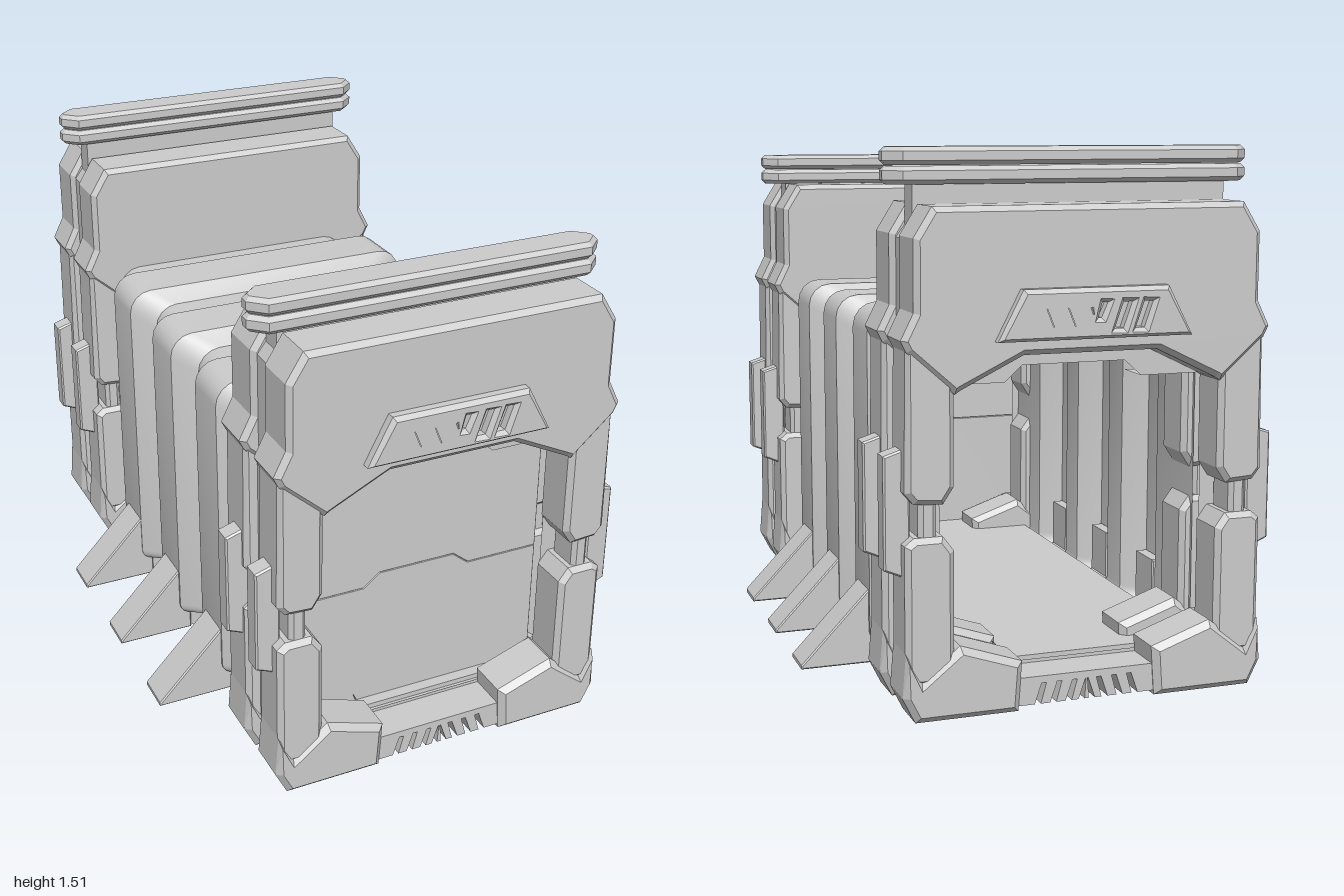
import * as THREE from 'three';
import { toCreasedNormals } from 'three/addons/utils/BufferGeometryUtils.js';

const material = new THREE.MeshStandardMaterial({ color: 0xcccccc });
const openMaterial = new THREE.MeshStandardMaterial({ color: 0xcccccc, side: THREE.DoubleSide });

const flip = pts => pts.map(([x, y]) => [-x, y]);
// Closes a right-hand half outline with its mirror image
const mirrored = pts => [...pts, ...flip(pts).reverse()];
const toPoints = pts => pts.map(([x, y]) => new THREE.Vector2(x, y));

function add(parent, name, geometry, mat = material) {
  const mesh = new THREE.Mesh(geometry, mat);
  mesh.name = name;
  parent.add(mesh);
  return mesh;
}

// Bevelled plate with an outline in x/y, filling z0..z1
function plate(pts, z0, z1, bevel = 0.012, holes = []) {
  const shape = new THREE.Shape(toPoints(pts));
  shape.holes = holes.map(h => new THREE.Path(toPoints(h)));
  const geo = new THREE.ExtrudeGeometry(shape, {
    depth: z1 - z0 - 2 * bevel, bevelEnabled: bevel > 0, bevelThickness: bevel,
    bevelSize: bevel, bevelOffset: -bevel, bevelSegments: 1,
  });
  return geo.translate(0, 0, z0 + bevel);
}

const LINTEL = mirrored([[0.44, 1.36], [0.49, 1.28], [0.49, 1.09], [0.525, 1.02],
  [0.51, 0.99], [0.38, 0.875], [0.365, 0.885], [0.19, 0.97]]);
const UPPER_PILLAR = [[0.38, 0.96], [0.51, 1.03], [0.515, 0.62], [0.49, 0.59], [0.41, 0.585], [0.38, 0.63]];
const LOWER_PILLAR = [[0.38, 0.1], [0.515, 0.1], [0.515, 0.48], [0.49, 0.5], [0.41, 0.5], [0.38, 0.46]];
const NECK = [[0.425, 0.45], [0.475, 0.45], [0.475, 0.65], [0.425, 0.65]];
const FOOT_BLOCK = [[0.515, 0.19], [0.525, 0.07], [0.49, 0], [0.2, 0], [0.19, 0.14], [0.365, 0.2], [0.47, 0.115]];
const CORE = mirrored([[0.43, 1.33], [0.475, 1.27], [0.475, 0.06], [0.45, 0.015]]);
const CORE_OPENING = mirrored([[0.15, 0.925], [0.2, 0.88], [0.385, 0.88], [0.385, 0.2], [0.36, 0.2], [0.2, 0.13], [0.19, 0.1]]);

function buildPortal(name, railLift) {
  const portal = new THREE.Group();
  portal.name = name;

  // Two armoured layers with a recessed core between them
  add(portal, 'frameCore', plate(CORE, 0.715, 0.83, 0, [CORE_OPENING]));
  for (const [z0, z1] of [[0.815, 0.955], [0.59, 0.73]]) {
    add(portal, 'lintel', plate(LINTEL, z0 - 0.005, z1 + 0.01, 0.015));
    for (const m of [p => p, flip]) {
      add(portal, 'upperPillar', plate(m(UPPER_PILLAR), z0, z1, 0.015));
      add(portal, 'lowerPillar', plate(m(LOWER_PILLAR), z0, z1, 0.015));
      add(portal, 'pillarNeck', plate(m(NECK), z0 + 0.015, z1 - 0.015));
      add(portal, 'footBlock', plate(m(FOOT_BLOCK), z0 - 0.005, z1 + 0.01, 0.018));
    }
  }

  // Side clips
  const clip = [[0.49, 0.39], [0.515, 0.39], [0.562, 0.41], [0.562, 0.715], [0.515, 0.73], [0.49, 0.73]];
  for (const z of [0.88, 0.675])
    for (const m of [p => p, flip]) add(portal, 'sideClip', plate(m(clip), z - 0.03, z + 0.03, 0.005));

  // Vent plate with slanted slots
  const slots = [];
  for (const x of [0.065, 0.125]) {
    const slot = [[x - 0.015, 1.035], [x + 0.01, 1.035], [x + 0.035, 1.105], [x + 0.01, 1.105]];
    slots.push(slot, flip(slot));
  }
  const tooth = [[0.003, 1.065], [0.012, 1.065], [0.03, 1.105], [0.014, 1.105]];
  slots.push(tooth, flip(tooth));
  add(portal, 'ventPlate', plate(mirrored([[0.205, 1.145], [0.275, 1.01]]), 0.95, 1, 0.012, slots));

  // Sill with grooves running along its underside
  const half = [[0.21, 0.09], [0.21, 0.012]];
  for (const x of [0.14, 0.095, 0.05, 0.012])
    half.push([x + 0.012, 0.012], [x - 0.008, 0.07], [x - 0.022 > 0 ? x - 0.022 : 0.002, 0.07], [x - 0.006, 0.012]);
  add(portal, 'grooveSill', plate(mirrored(half), 0.53, 0.945, 0));

  // Stacked rails on a thin stem
  const stem = add(portal, 'railStem', new THREE.BoxGeometry(0.9, 0.14 + railLift, 0.07));
  stem.position.set(0, 1.31 + railLift / 2, 0.775);
  const railOutline = [[0.48, 0.058], [0.525, 0.014], [0.525, -0.014], [0.48, -0.058],
    [-0.48, -0.058], [-0.525, -0.014], [-0.525, 0.014], [-0.48, 0.058]];
  for (const y of [1.36, 1.41]) {
    const rail = add(portal, 'topRail', plate(railOutline, 0, 0.048, 0.012).rotateX(-Math.PI / 2));
    rail.position.set(0, y + railLift, 0.775);
  }
  return portal;
}

// Ribbed tunnel skin: rounded-rectangle sections swept along z
function tunnelGeometry() {
  const sections = [[-0.74, 0]];
  for (const c of [-0.365, 0, 0.36])
    sections.push([c - 0.13, 0], [c - 0.08, 1], [c + 0.08, 1], [c + 0.13, 0]);
  sections.push([0.74, 0]);
  const positions = [], indices = [], steps = 4, count = 4 * (steps + 1);
  for (const [z, rib] of sections) {
    const w = 0.41 + 0.068 * rib, top = 1.01 + 0.04 * rib, bottom = 0.065;
    for (let corner = 0; corner < 4; corner++) {
      const r = corner < 2 ? 0.07 : 0.035;
      const cx = (corner === 0 || corner === 3 ? 1 : -1) * (w - r);
      const cy = corner < 2 ? top - r : bottom + r;
      for (let s = 0; s <= steps; s++) {
        const a = (corner + s / steps) * Math.PI / 2;
        positions.push(cx + r * Math.cos(a), cy + r * Math.sin(a), z);
      }
    }
  }
  for (let i = 0; i < sections.length - 1; i++)
    for (let j = 0; j < count; j++) {
      const a = i * count + j, b = i * count + (j + 1) % count;
      indices.push(a, b, b + count, a, b + count, a + count);
    }
  const geo = new THREE.BufferGeometry();
  geo.setAttribute('position', new THREE.Float32BufferAttribute(positions, 3));
  geo.setIndex(indices);
  return toCreasedNormals(geo, 0.5);
}

export function createModel() {
  const model = new THREE.Group();
  model.name = 'gatedCorridor';

  // End portals: the rear one carries its rails higher
  model.add(buildPortal('frontPortal', 0));
  const rear = buildPortal('rearPortal', 0.05);
  rear.rotation.y = Math.PI;
  model.add(rear);

  // Tunnel and walkway
  add(model, 'ribbedTunnel', tunnelGeometry(), openMaterial);
  add(model, 'floor', new THREE.BoxGeometry(0.78, 0.03, 1.62)).position.y = 0.09;

  // Closed front door in two interlocking halves
  const seam = [[-0.4, 0.49], [-0.17, 0.49], [-0.12, 0.53], [0.12, 0.53], [0.17, 0.49], [0.4, 0.49]];
  add(model, 'upperDoor', plate([...seam, [0.4, 0.95], [-0.4, 0.95]], 0.745, 0.775, 0.002));
  add(model, 'lowerDoor', plate([...seam, [0.4, 0.09], [-0.4, 0.09]], 0.745, 0.775, 0.002));

  // Cross beams ending in triangular braces
  for (const z of [-0.36, 0, 0.36]) {
    add(model, 'crossBeam', new THREE.BoxGeometry(0.96, 0.075, 0.125)).position.set(0, 0.0375, z);
    for (const side of [1, -1]) {
      const brace = [[0.44, 0], [0.68, 0], [0.68, 0.012], [0.475, 0.225], [0.44, 0.225]];
      const zc = z - side * 0.01;
      add(model, 'groundBrace', plate(side > 0 ? brace : flip(brace), zc - 0.063, zc + 0.063, 0.004));
    }
  }
  return model;
}
